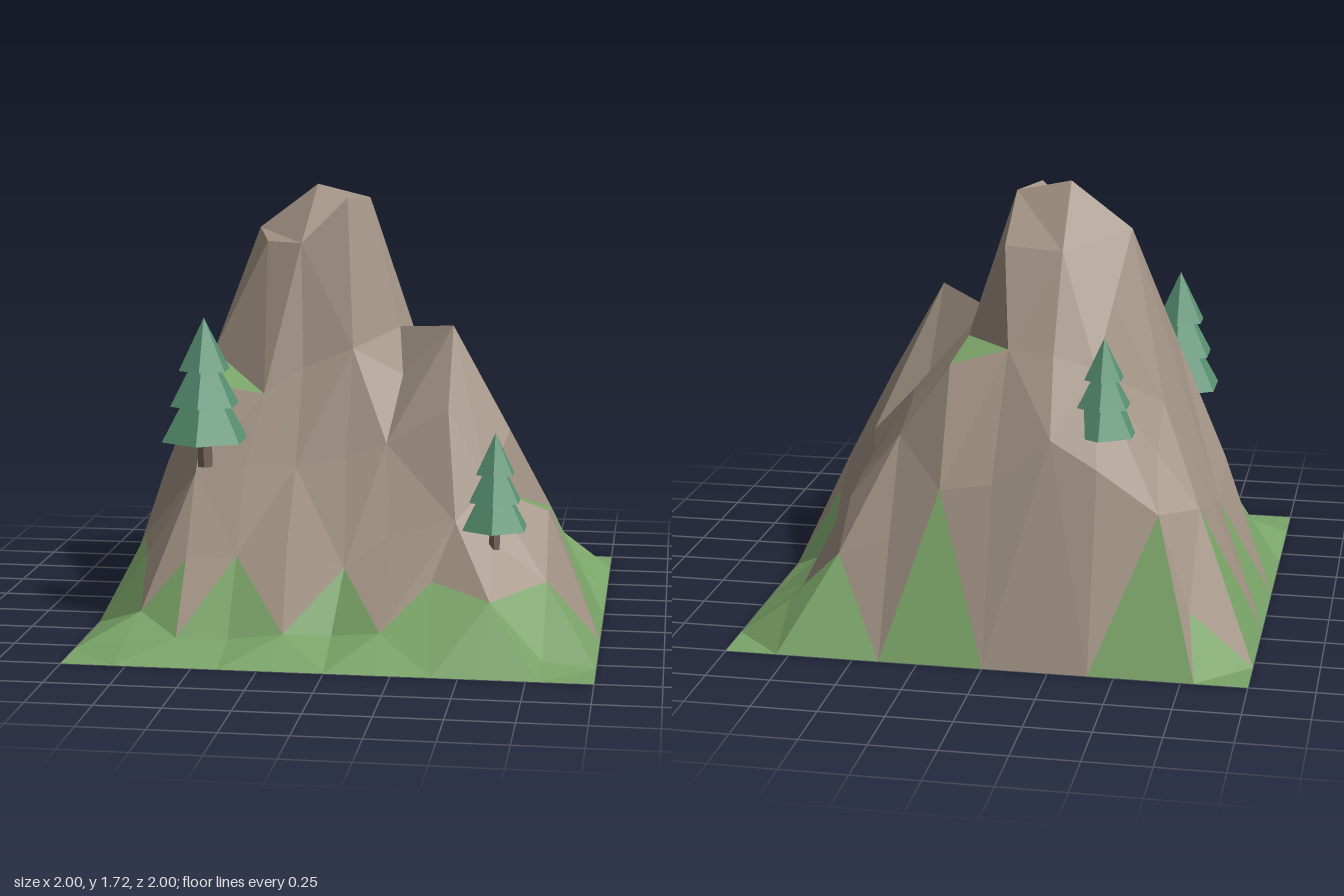
import * as THREE from 'three';

const rock = new THREE.MeshStandardMaterial({ color: 0xa29384, side: THREE.DoubleSide, flatShading: true });
const grass = new THREE.MeshStandardMaterial({ color: 0x7ba569, side: THREE.DoubleSide, flatShading: true });
const needles = new THREE.MeshStandardMaterial({ color: 0x599273, flatShading: true });
const bark = new THREE.MeshStandardMaterial({ color: 0x75645a, flatShading: true });
rock.name = 'rock';
grass.name = 'grass';
needles.name = 'needles';
bark.name = 'bark';

// Inner heights on a 0.2 grid: rows from back to front, columns from -x to +x
const HEIGHTS = [
  [0.22, 0.57, 0.74, 0.84, 0.66, 0.63, 0.42, 0.35, 0.15],
  [0.56, 0.76, 1.07, 1.12, 1.13, 1.07, 0.78, 0.52, 0.14],
  [0.50, 0.90, 1.30, 1.48, 1.49, 1.12, 0.85, 0.56, 0.18],
  [0.45, 1.06, 1.54, 1.72, 1.67, 1.13, 0.86, 0.60, 0.13],
  [0.58, 1.05, 1.50, 1.50, 1.68, 1.16, 0.82, 0.63, 0.35],
  [0.32, 0.95, 0.92, 1.02, 1.10, 1.00, 1.20, 0.80, 0.47],
  [0.28, 0.62, 0.65, 0.66, 0.70, 0.76, 0.90, 0.61, 0.50],
  [0.12, 0.32, 0.34, 0.40, 0.32, 0.44, 0.50, 0.42, 0.28],
  [0.04, 0.06, 0.06, 0.10, 0.09, 0.12, 0.29, 0.24, 0.02],
];

// Grid points pulled off the regular grid: column, row, x, z
const SHIFTS = [
  [1, 1, -0.76, -0.84], [2, 1, -0.63, -0.77], [4, 1, -0.22, -0.78],
  [1, 2, -0.77, -0.64], [3, 2, -0.36, -0.58], [5, 2, -0.02, -0.57],
  [5, 3, 0.03, -0.37], [6, 3, 0.18, -0.34],
  [3, 4, -0.44, -0.2], [5, 4, 0.02, -0.17], [6, 4, 0.2, -0.17], [7, 4, 0.43, -0.23],
  [3, 5, -0.38, -0.03], [4, 5, -0.23, 0.05], [5, 5, -0.05, 0], [6, 5, 0.16, -0.04],
  [7, 5, 0.42, -0.05], [8, 5, 0.64, -0.06],
  [1, 6, -0.85, 0.2], [2, 6, -0.57, 0.24], [3, 6, -0.35, 0.25], [8, 6, 0.63, 0.25], [9, 6, 0.79, 0.14],
  [6, 7, 0.16, 0.4], [8, 7, 0.56, 0.45], [9, 7, 0.79, 0.35],
  [1, 8, -0.77, 0.65], [5, 8, 0.03, 0.66], [7, 8, 0.45, 0.6],
  [4, 9, -0.18, 0.84], [6, 9, 0.19, 0.85], [7, 9, 0.37, 0.7],
].map(([i, j, x, z]) => ({ i, j, x, z }));

function gridPoint(i, j) {
  const inner = i > 0 && i < 10 && j > 0 && j < 10;
  const s = SHIFTS.find((p) => p.i === i && p.j === j);
  return new THREE.Vector3(
    s ? s.x : i * 0.2 - 1,
    inner ? HEIGHTS[j - 1][i - 1] : 0,
    s ? s.z : j * 0.2 - 1,
  );
}

// Low faces and flat ledges are grass, everything else is bare rock
function isGrass(a, b, c) {
  const normal = new THREE.Triangle(a, b, c).getNormal(new THREE.Vector3());
  const height = (a.y + b.y + c.y) / 3;
  return height < 0.215 || (normal.y > 0.835 && height < 1.3);
}

function facetMesh(points, material, name) {
  const geometry = new THREE.BufferGeometry().setFromPoints(points);
  geometry.computeVertexNormals();
  const mesh = new THREE.Mesh(geometry, material);
  mesh.name = name;
  return mesh;
}

// Open shell of faceted ground with diagonals alternating from cell to cell
function createMountain() {
  const rockPoints = [];
  const grassPoints = [];
  const addFace = (a, b, c) => (isGrass(a, b, c) ? grassPoints : rockPoints).push(a, b, c);
  for (let j = 0; j < 10; j++) {
    for (let i = 0; i < 10; i++) {
      const a = gridPoint(i, j);
      const b = gridPoint(i + 1, j);
      const c = gridPoint(i + 1, j + 1);
      const d = gridPoint(i, j + 1);
      if ((i + j) % 2) {
        addFace(a, d, c);
        addFace(a, c, b);
      } else {
        addFace(a, d, b);
        addFace(b, d, c);
      }
    }
  }
  const mountain = new THREE.Group();
  mountain.name = 'mountain';
  mountain.add(facetMesh(rockPoints, rock, 'rockFaces'), facetMesh(grassPoints, grass, 'grassFaces'));
  return mountain;
}

// Six-sided conifer with three stacked tiers
function createTree(x, y, z, scale) {
  const tree = new THREE.Group();
  tree.name = 'pineTree';
  const trunk = new THREE.Mesh(new THREE.CylinderGeometry(0.028, 0.03, 0.16, 6), bark);
  trunk.name = 'trunk';
  trunk.position.y = 0.08;
  tree.add(trunk);
  for (let k = 0; k < 3; k++) {
    const height = 0.31 - 0.0525 * k;
    const tier = new THREE.Mesh(new THREE.ConeGeometry(0.178 - 0.0365 * k, height, 6), needles);
    tier.name = 'foliageTier';
    tier.position.y = 0.108 + 0.139 * k + height / 2;
    tree.add(tier);
  }
  tree.position.set(x, y, z);
  tree.scale.setScalar(scale);
  return tree;
}

export function createModel() {
  const model = new THREE.Group();
  model.name = 'mountainWithPines';
  model.add(
    createMountain(),
    createTree(-0.56, 0.65, 0.4, 1),
    createTree(0.6, 0.4, 0.6, 0.76),
    createTree(-0.4, 0.76, -0.64, 0.76),
  );
  return model;
}
